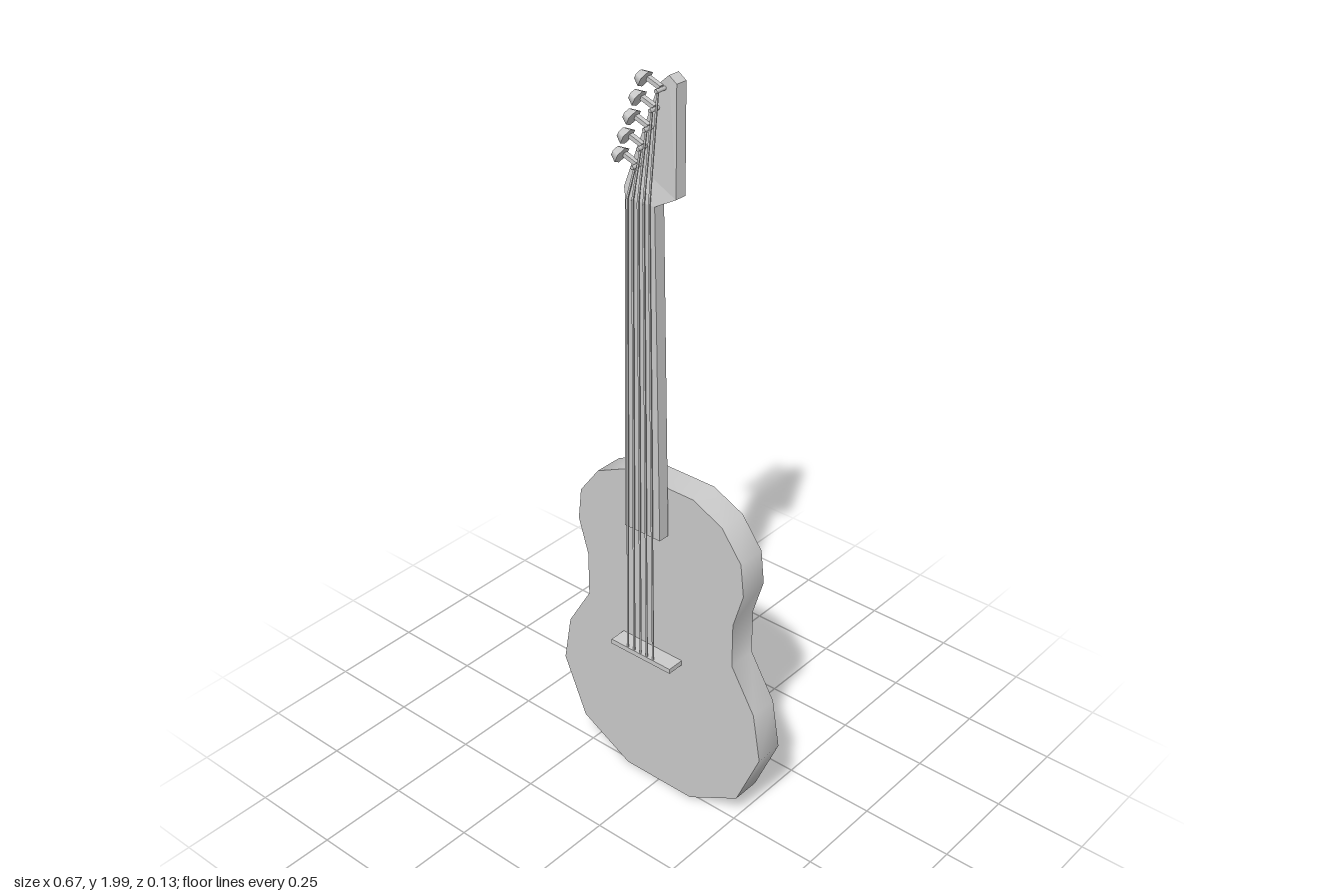
import * as THREE from 'three';
import { toCreasedNormals } from 'three/addons/utils/BufferGeometryUtils.js';

const material = new THREE.MeshStandardMaterial({ color: 0xcccccc });

function add(parent, name, geometry, x = 0, y = 0, z = 0) {
  const mesh = new THREE.Mesh(geometry, material);
  mesh.name = name;
  mesh.position.set(x, y, z);
  parent.add(mesh);
  return mesh;
}

// Flat outline extruded along z, from z0 to z1
function slab(points, z0, z1) {
  const shape = new THREE.Shape(points.map(([x, y]) => new THREE.Vector2(x, y)));
  const g = new THREE.ExtrudeGeometry(shape, { depth: z1 - z0, bevelEnabled: false });
  return g.translate(0, 0, z0);
}

// Thin square bar between two points
function bar(parent, name, a, b, width) {
  const dir = b.clone().sub(a);
  const mesh = add(parent, name, new THREE.BoxGeometry(width, dir.length(), width * 0.6));
  mesh.position.copy(a).add(b).multiplyScalar(0.5);
  mesh.quaternion.setFromUnitVectors(new THREE.Vector3(0, 1, 0), dir.normalize());
}

export function createModel() {
  const guitar = new THREE.Group();
  guitar.name = 'guitar';

  // Body: mirrored half outline with a waist
  const half = [[0.11, 0], [0.265, 0.085], [0.335, 0.25], [0.312, 0.385], [0.24, 0.505],
    [0.24, 0.63], [0.27, 0.73], [0.26, 0.82], [0.2, 0.9], [0.11, 0.942]];
  const outline = half.concat(half.map(([x, y]) => [-x, y]).reverse());
  add(guitar, 'body', toCreasedNormals(slab(outline, -0.068, 0.012), 0.75));

  // Tapered neck overlapping the body front
  add(guitar, 'neck', slab([[-0.079, 0.808], [0.035, 0.808], [0.021, 1.69], [-0.066, 1.69]], 0.016, 0.048));

  // Headstock: leans back from the neck
  const head = slab([[-0.066, 1.69], [0.021, 1.69], [0.077, 1.72], [0.062, 1.975], [0.04, 1.99],
    [0.012, 1.965], [-0.058, 1.775], [-0.073, 1.712]], 0.016, 0.048);
  const p = head.attributes.position;
  for (let i = 0; i < p.count; i++) {
    const y = p.getY(i);
    const lean = y < 1.77 ? (y - 1.69) * 0.22 : 0.018 + (y - 1.77) * 0.035;
    p.setZ(i, p.getZ(i) - lean);
  }
  head.computeVertexNormals();
  add(guitar, 'headstock', head);

  // Bridge
  add(guitar, 'bridge', new THREE.BoxGeometry(0.197, 0.014, 0.05), -0.021, 0.434, 0.035);

  // Tuning pegs along the slanted edge: shaft, flared button and string post
  const count = 5;
  for (let i = 0; i < count; i++) {
    const t = i / (count - 1);
    const peg = new THREE.Group();
    peg.name = 'tuningPeg';
    peg.position.set(-0.052 + 0.066 * t, 1.775 + 0.19 * t, 0.034 - 0.004 * t);
    peg.rotation.z = -0.35;
    add(peg, 'pegShaft', new THREE.BoxGeometry(0.05, 0.01, 0.012), -0.014, 0, 0);
    const button = new THREE.CylinderGeometry(0.011, 0.018, 0.02, 6);
    button.scale(0.9, 1, 1.3).rotateZ(Math.PI / 2).rotateX(0.5);
    add(peg, 'pegButton', button, -0.037, 0, 0.01);
    const post = new THREE.CylinderGeometry(0.005, 0.005, 0.035, 6).rotateX(Math.PI / 2);
    add(peg, 'stringPost', post, 0.016, 0, 0.006);
    guitar.add(peg);

    // String: bridge to nut, then on to its post
    const bridgeEnd = new THREE.Vector3(-0.066 + 0.085 * t, 0.434, 0.056);
    const nut = new THREE.Vector3(-0.055 + 0.065 * t, 1.69, 0.054);
    const postEnd = new THREE.Vector3(-0.037 + 0.066 * t, 1.77 + 0.19 * t, 0.046);
    bar(guitar, 'string', bridgeEnd, nut, 0.005);
    bar(guitar, 'stringEnd', nut, postEnd, 0.005);
  }
  return guitar;
}
